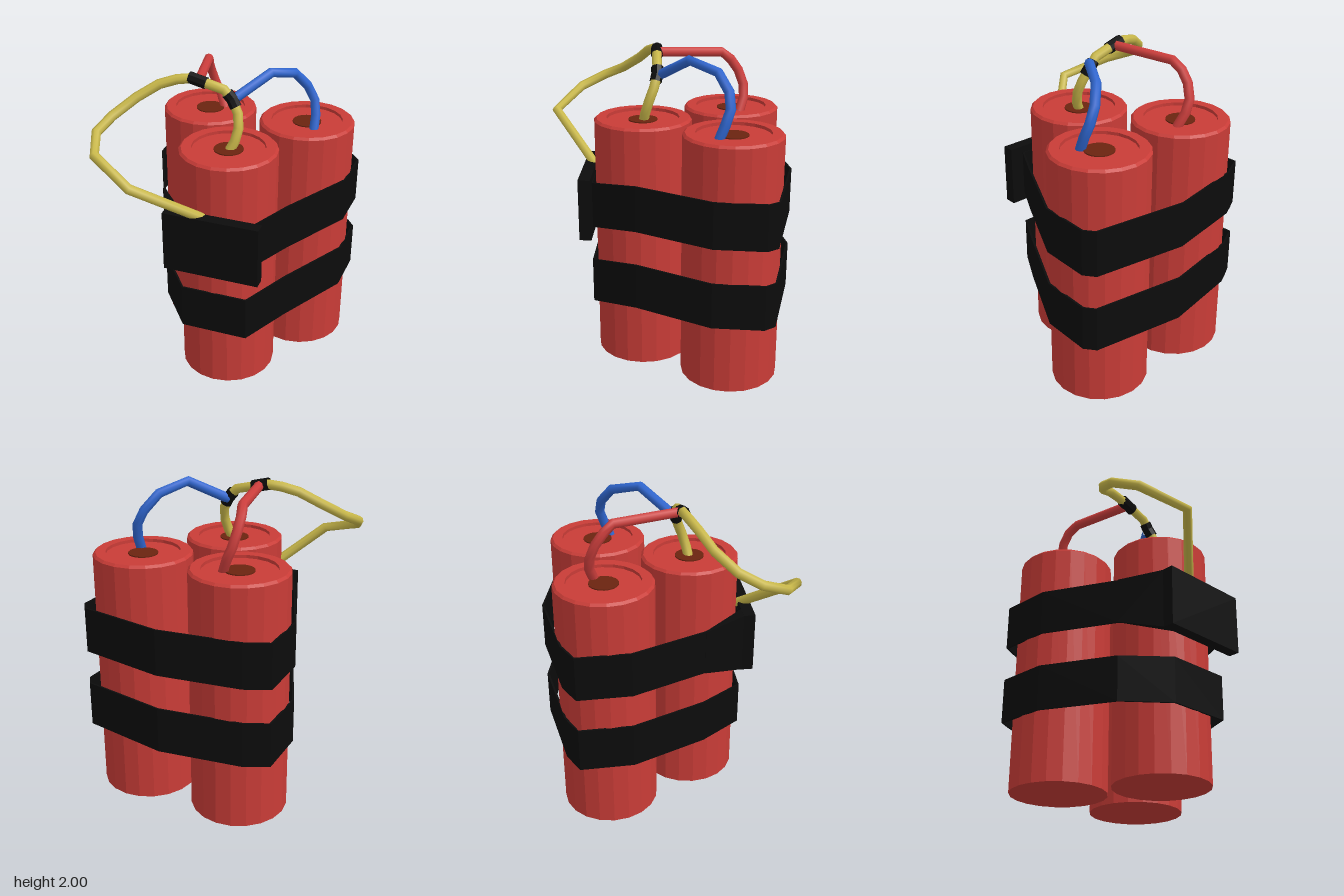
import * as THREE from 'three';
import { ConvexGeometry } from 'three/addons/geometries/ConvexGeometry.js';

const mat = (name, color, flat = false) => {
  const m = new THREE.MeshStandardMaterial({ color, flatShading: flat });
  m.name = name;
  return m;
};

// Tube with one ring per path point, so bends stay angular
function wireGeometry(points, radius) {
  const p = points.map((a) => new THREE.Vector3(...a));
  const curve = new THREE.Curve();
  curve.getPoint = (t) => {
    const f = t * (p.length - 1);
    const i = Math.min(Math.floor(f), p.length - 2);
    return p[i].clone().lerp(p[i + 1], f - i);
  };
  curve.getUtoTmapping = (u) => u;
  return new THREE.TubeGeometry(curve, p.length - 1, radius, 8, false);
}

// Closed strap: each path entry is [x, z, bottom y]
function strapGeometry(path, height, thickness) {
  const pos = [], index = [], n = path.length;
  path.forEach(([x, z, y], i) => {
    const a = path[(i + n - 1) % n], b = path[(i + 1) % n];
    const d = new THREE.Vector2(b[0] - a[0], b[1] - a[1]).normalize();
    const ix = x - d.y * thickness, iz = z + d.x * thickness;
    pos.push(x, y, z, x, y + height, z, ix, y + height, iz, ix, y, iz);
    for (let k = 0; k < 4; k++) {
      const l = (k + 1) % 4, j = (i + 1) % n;
      const p = i * 4 + k, q = i * 4 + l, r = j * 4 + l, s = j * 4 + k;
      index.push(p, q, r, p, r, s);
    }
  });
  const g = new THREE.BufferGeometry();
  g.setAttribute('position', new THREE.Float32BufferAttribute(pos, 3));
  g.setIndex(index);
  g.computeVertexNormals();
  return g;
}

export function createModel() {
  const model = new THREE.Group();
  const red = mat('red casing', 0xc93c37, true);
  const brown = mat('brown core', 0x6b2410);
  const black = mat('black tape', 0x0c0c0c, true);
  black.side = THREE.DoubleSide;
  const redWire = mat('red wire', 0xcc3e3c);
  const yellow = mat('yellow wire', 0xc9b84a);
  const blue = mat('blue wire', 0x2f66cf);

  const add = (name, geometry, material, parent = model) => {
    const mesh = new THREE.Mesh(geometry, material);
    mesh.name = name;
    parent.add(mesh);
    return mesh;
  };

  // Three sticks with a rounded rim and a recessed end
  const profile = [[0, 0], [0.307, 0], [0.307, 1.565], [0.292, 1.58], [0.23, 1.58], [0.23, 1.56], [0, 1.56]]
    .map(([r, y]) => new THREE.Vector2(r, y));
  const casing = new THREE.LatheGeometry(profile, 20);
  const core = new THREE.CylinderGeometry(0.092, 0.092, 0.008, 20);
  const sticks = { backRightStick: [-0.285, -0.408], backLeftStick: [0.385, -0.408], frontStick: [0.052, 0.152] };
  for (const [name, [x, z]] of Object.entries(sticks)) {
    const stick = new THREE.Group();
    stick.name = name;
    stick.position.set(x, 0, z);
    add('casing', casing, red, stick);
    add('core', core, brown, stick).position.y = 1.563;
    model.add(stick);
  }

  // Two straps wrapped round the bundle
  const strapPath = [
    [0.07, -0.79, 0.45], [0.65, -0.68, 0.435], [0.702, -0.61, 0.435], [0.692, -0.29, 0.44],
    [0.45, 0.18, 0.445], [0.28, 0.465, 0.407], [-0.15, 0.465, 0.407], [-0.37, 0.2, 0.43],
    [-0.592, -0.27, 0.44], [-0.603, -0.61, 0.44], [-0.53, -0.65, 0.44], [-0.45, -0.69, 0.44]];
  const strap = strapGeometry(strapPath, 0.292, 0.013);
  add('lowerStrap', strap, black);
  add('upperStrap', strap, black).position.y = 0.515;

  // Control box on the upper strap and the wedge joining it
  add('controlBox', new THREE.BoxGeometry(0.612, 0.392, 0.075), black).position.set(0.07, 1.065, 0.495);
  const wedge = [
    [-0.235, 0.87, 0.46], [-0.235, 1.26, 0.46], [-0.14, 0.87, 0.46], [-0.14, 1.26, 0.46],
    [-0.375, 0.945, 0.2], [-0.375, 1.238, 0.2], [-0.36, 0.945, 0.2], [-0.36, 1.238, 0.2]];
  add('boxWedge', new ConvexGeometry(wedge.map((a) => new THREE.Vector3(...a))), black);

  // Wires
  add('yellowWire', wireGeometry([
    [0.05, 1.54, 0.15], [0.085, 1.61, 0.135], [0.1, 1.69, 0.11], [0.085, 1.77, 0.08], [0.04, 1.85, 0.06],
    [-0.01, 1.905, 0.065], [-0.11, 1.93, 0.07], [-0.21, 1.955, 0.075], [-0.3, 1.945, 0.1], [-0.4, 1.915, 0.14],
    [-0.52, 1.84, 0.21], [-0.63, 1.75, 0.33], [-0.675, 1.69, 0.46], [-0.61, 1.62, 0.62], [-0.33, 1.52, 0.755],
    [0, 1.235, 0.46]], 0.031), yellow);
  add('blueWire', wireGeometry([
    [0.04, 1.84, 0.05], [0.22, 1.97, -0.14], [0.32, 1.92, -0.31], [0.39, 1.82, -0.375],
    [0.435, 1.73, -0.385], [0.455, 1.64, -0.355], [0.455, 1.55, -0.32]], 0.031), blue);
  add('redWire', wireGeometry([
    [-0.17, 1.945, 0.06], [-0.265, 1.93, -0.34], [-0.287, 1.88, -0.4], [-0.29, 1.81, -0.45],
    [-0.275, 1.72, -0.485], [-0.24, 1.64, -0.488], [-0.2, 1.55, -0.46]], 0.031), redWire);

  // Tape around the wire joints
  add('outerJointTape', wireGeometry([[-0.23, 1.96, 0.076], [-0.12, 1.932, 0.07]], 0.038), black);
  add('innerJointTape', wireGeometry([[0.01, 1.885, 0.063], [0.04, 1.85, 0.06], [0.068, 1.805, 0.07]], 0.038), black);

  return model;
}
